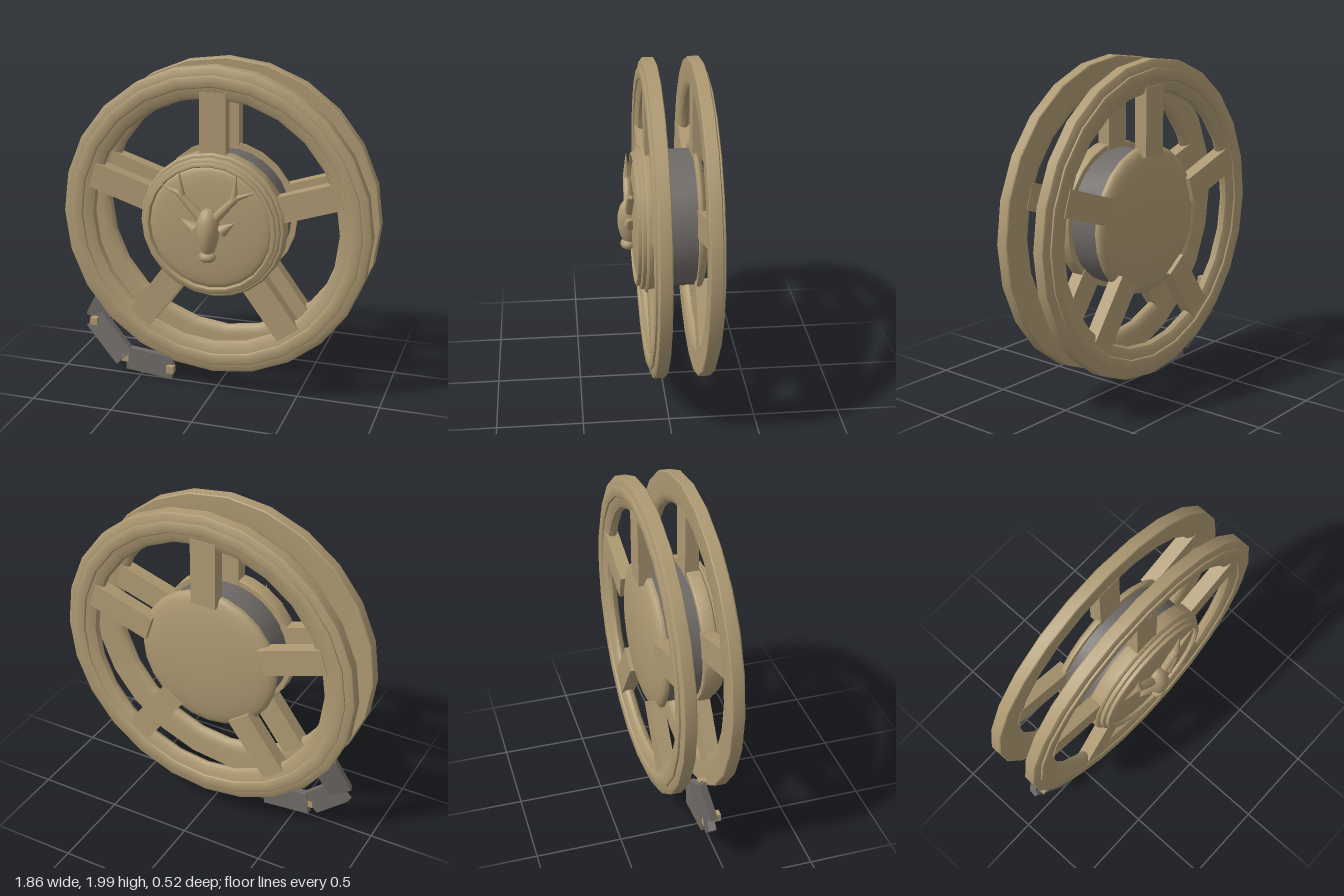
import * as THREE from 'three';
import { toCreasedNormals } from 'three/addons/utils/BufferGeometryUtils.js';

const bronze = new THREE.MeshStandardMaterial({ color: 0xad9972 });
bronze.name = 'bronze';
const darkGrey = new THREE.MeshStandardMaterial({ color: 0x6f6a67 });
darkGrey.name = 'dark grey';

function add(parent, name, geometry, material, x = 0, y = 0, z = 0) {
  const mesh = new THREE.Mesh(geometry, material);
  mesh.name = name;
  mesh.position.set(x, y, z);
  parent.add(mesh);
  return mesh;
}

// Turned part around the z axis; points are [radius, z], outer side going forward
function turned(points, segments = 24) {
  const g = new THREE.LatheGeometry(points.map(p => new THREE.Vector2(...p)), segments);
  g.rotateX(Math.PI / 2);
  return toCreasedNormals(g, 0.6);
}

// Shallow dome profile from the edge to the axis
function dome(radius, zEdge, zTop, steps = 8) {
  const pts = [];
  for (let i = 0; i <= steps; i++) {
    const a = (i / steps) * Math.PI / 2;
    pts.push([radius * Math.cos(a), zEdge + (zTop - zEdge) * Math.sin(a)]);
  }
  return pts;
}

// Tapered round bar between two points
function taper(parent, name, from, to, r0, r1) {
  const a = new THREE.Vector3(...from), b = new THREE.Vector3(...to);
  const d = b.clone().sub(a);
  const mesh = add(parent, name, new THREE.CylinderGeometry(r1, r0, d.length(), 10), bronze);
  mesh.position.copy(a).lerp(b, 0.5);
  mesh.quaternion.setFromUnitVectors(new THREE.Vector3(0, 1, 0), d.normalize());
  return mesh;
}

// One spoked wheel, outer face towards +z
function wheel(name) {
  const g = new THREE.Group();
  g.name = name;
  add(g, 'rim', turned([
    [0.74, 0.135], [0.748, 0.115], [0.77, 0.1], [0.8, 0.095], [0.925, 0.095], [0.93, 0.1],
    [0.93, 0.162], [0.922, 0.168], [0.88, 0.172], [0.88, 0.182], [0.868, 0.187], [0.83, 0.187],
    [0.815, 0.182], [0.81, 0.174], [0.775, 0.168], [0.75, 0.155], [0.74, 0.135],
  ]), bronze);
  for (let i = 0; i < 5; i++) {
    const box = new THREE.BoxGeometry(0.155, 0.4, 0.08);
    box.translate(0, 0.58, 0.135);
    add(g, 'spoke', box, bronze).rotation.z = (i * Math.PI * 2) / 5;
  }
  return g;
}

// Stag head relief in the middle of the front hub
function stagHead() {
  const g = new THREE.Group();
  g.name = 'stagHead';
  const skull = new THREE.SphereGeometry(1, 20, 14);
  const p = skull.attributes.position;
  for (let i = 0; i < p.count; i++) {
    const y = p.getY(i), w = 0.066 + 0.018 * y;
    p.setXYZ(i, p.getX(i) * w, y * 0.15, p.getZ(i) * (0.075 + 0.008 * y));
  }
  skull.computeVertexNormals();
  add(g, 'skull', skull, bronze, 0, 1.05, 0.18);
  add(g, 'muzzle', new THREE.SphereGeometry(0.05, 16, 10), bronze, 0, 0.912, 0.195).scale.set(1, 0.7, 0.9);
  for (const s of [-1, 1]) {
    taper(g, 'ear', [s * 0.085, 1.075, 0.185], [s * 0.16, 1.13, 0.195], 0.037, 0.001);
    taper(g, 'antlerBeam', [s * 0.04, 1.14, 0.185], [s * 0.17, 1.28, 0.19], 0.03, 0.02);
    taper(g, 'antlerTine', [s * 0.155, 1.265, 0.19], [s * 0.17, 1.41, 0.19], 0.022, 0.002);
    taper(g, 'antlerTine', [s * 0.15, 1.27, 0.19], [s * 0.28, 1.32, 0.188], 0.02, 0.002);
  }
  return g;
}

// Chain link plate set by its centre, length direction and width direction
function link(parent, centre, along, across, length) {
  const x = new THREE.Vector3(...along).normalize();
  const z = x.clone().cross(new THREE.Vector3(...across)).normalize();
  const y = z.clone().cross(x);
  const mesh = add(parent, 'link', new THREE.BoxGeometry(length, 0.145, 0.042), darkGrey, ...centre);
  mesh.quaternion.setFromRotationMatrix(new THREE.Matrix4().makeBasis(x, y, z));
}

export function createModel() {
  const model = new THREE.Group();
  model.name = 'doubleWheel';
  const body = new THREE.Group();
  body.name = 'wheelBody';
  body.position.set(0, 1.07, -0.075);
  model.add(body);

  // Wheels, mirrored front and back
  const front = wheel('frontWheel'), back = wheel('backWheel');
  back.rotation.y = Math.PI;
  body.add(front, back);

  // Drum between the wheels
  add(body, 'drum', turned([[0, -0.12], [0.4, -0.12], [0.4, 0.12], [0, 0.12]], 32), darkGrey);

  // Front hub with stepped rings and a domed face
  add(front, 'hub', turned([
    [0, 0.1], [0.43, 0.1], [0.435, 0.108], [0.435, 0.178], [0.425, 0.188], [0.412, 0.19],
    [0.412, 0.21], [0.405, 0.215], [0.392, 0.217], [0.392, 0.236], [0.385, 0.24],
    [0.372, 0.24], [0.366, 0.232], [0.366, 0.212], [0, 0.212],
  ]), bronze);
  add(front, 'hubDome', turned(dome(0.367, 0.212, 0.25)), bronze);

  // Plain domed back hub
  add(back, 'hub', turned([[0, 0.1], [0.435, 0.1], ...dome(0.435, 0.118, 0.185)]), bronze);

  model.add(stagHead());

  // Loose chain at the foot of the wheel
  const chain = new THREE.Group();
  chain.name = 'chain';
  model.add(chain);
  link(chain, [-0.44, 0.093, -0.015], [0.29, -0.03, 0], [0.03, 0.29, 0], 0.3);
  link(chain, [-0.71, 0.22, -0.03], [-0.21, 0.21, -0.05], [-0.2, -0.2, 0], 0.31);
  link(chain, [-0.765, 0.425, -0.085], [0.09, 0.2, -0.045], [-0.14, 0.06, 0.035], 0.225);
  const pins = [[-0.297, 0.08, 0.018], [-0.598, 0.11, -0.008], [-0.808, 0.325, -0.018], [-0.73, 0.515, -0.078]];
  for (const pin of pins) add(chain, 'pin', new THREE.BoxGeometry(0.045, 0.045, 0.045), bronze, ...pin);

  return model;
}
